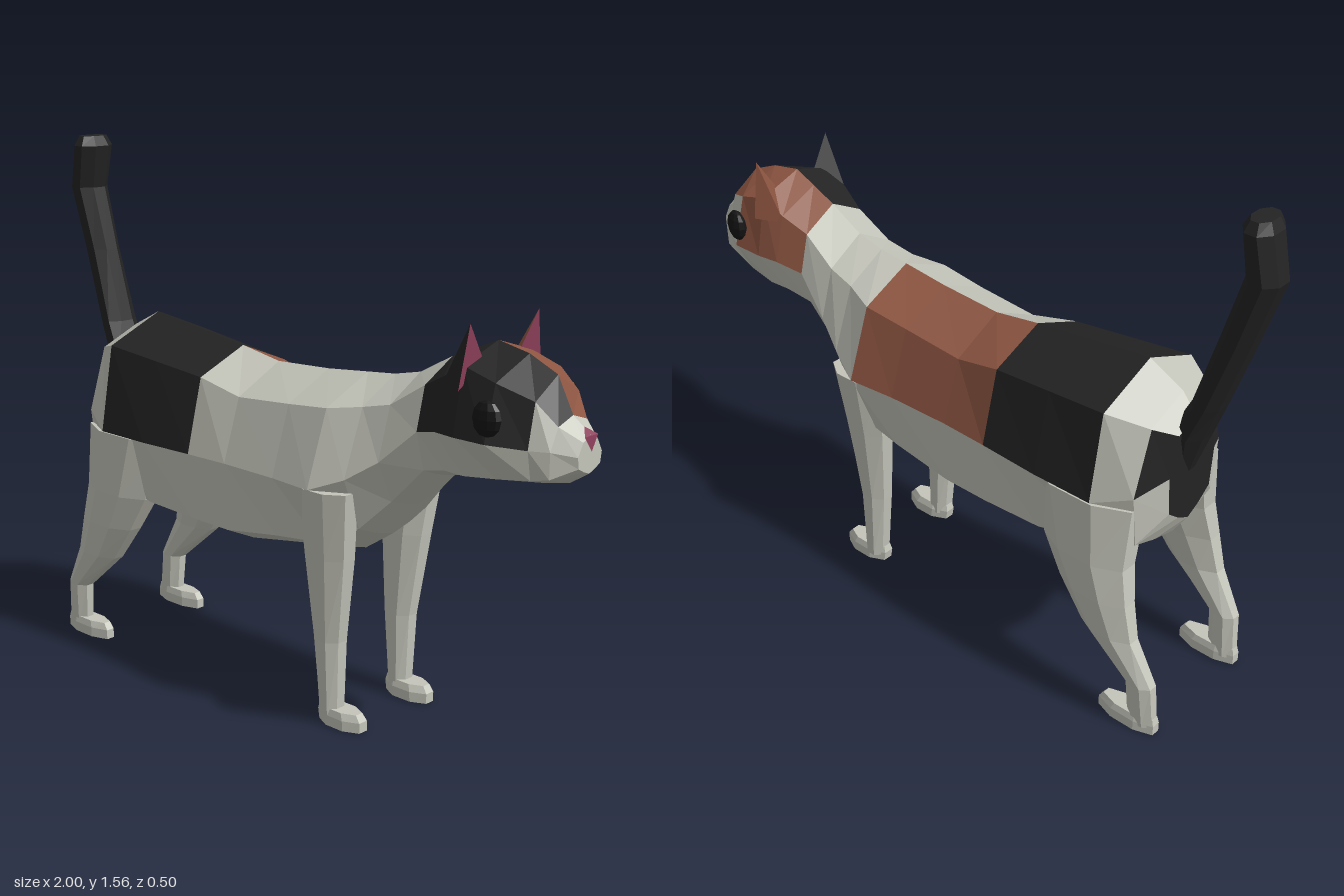
import * as THREE from 'three';

const mat = (name, color) => Object.assign(new THREE.MeshStandardMaterial({ color }), { name });
const M = {
  white: mat('paleFur', 0xc4c5ba),
  black: mat('blackFur', 0x232323),
  brown: mat('brownFur', 0x8e5642),
  pink: mat('pinkSkin', 0x8c3f5a),
  eye: mat('darkEye', 0x151515),
};

// Collects triangles per colour and turns them into flat-shaded meshes.
class Faces {
  constructor() { this.lists = {}; }
  tri(colour, a, b, c) { (this.lists[colour] ??= []).push(...a, ...b, ...c); }
  build(name) {
    const group = new THREE.Group();
    group.name = name;
    for (const [colour, list] of Object.entries(this.lists)) {
      const geo = new THREE.BufferGeometry();
      geo.setAttribute('position', new THREE.Float32BufferAttribute(list, 3));
      geo.computeVertexNormals();
      const mesh = new THREE.Mesh(geo, M[colour]);
      mesh.name = name + '_' + M[colour].name;
      group.add(mesh);
    }
    return group;
  }
}

// Skins a row of rings; rings run counter-clockwise seen from the far end.
function loft(name, rings, colourOf) {
  const f = new Faces(), n = rings[0].length, last = rings.length - 1;
  for (let s = 0; s < last; s++) {
    for (let i = 0; i < n; i++) {
      const j = (i + 1) % n, colour = colourOf(s, i);
      f.tri(colour, rings[s][i], rings[s][j], rings[s + 1][j]);
      f.tri(colour, rings[s][i], rings[s + 1][j], rings[s + 1][i]);
    }
  }
  for (let i = 1; i < n - 1; i++) {
    f.tri(colourOf(-1, i), rings[0][0], rings[0][i + 1], rings[0][i]);
    f.tri(colourOf(last, i), rings[last][0], rings[last][i], rings[last][i + 1]);
  }
  return f.build(name);
}

// Upright limb made of eight-sided rings: [y, x0, x1, z0, z1]
function limb(name, rows, colour, side = 1) {
  const k = 0.5 / Math.cos(Math.PI / 8);
  const rings = rows.map(([y, x0, x1, z0, z1]) => Array.from({ length: 8 }, (_, i) => {
    const a = (i + 0.5) * Math.PI / 4;
    return [(x0 + x1) / 2 + (x1 - x0) * k * Math.cos(a), y,
      side * (z0 + z1) / 2 - (z1 - z0) * k * Math.sin(a)];
  }));
  return loft(name, rings, () => colour);
}

// Trunk and head stations: x, top y, ridge z/y, flank z/y, lower z/y, underside y
const TRUNK = [
  [-0.785, 0.93, 0.07, 0.90, 0.10, 0.78, 0.09, 0.66, 0.60],
  [-0.74, 0.985, 0.13, 0.93, 0.19, 0.74, 0.17, 0.58, 0.53],
  [-0.63, 1.04, 0.19, 0.96, 0.235, 0.70, 0.20, 0.55, 0.48],
  [-0.44, 1.015, 0.18, 0.94, 0.235, 0.70, 0.21, 0.51, 0.44],
  [-0.25, 0.99, 0.17, 0.92, 0.225, 0.70, 0.215, 0.505, 0.43],
  [-0.10, 0.965, 0.16, 0.885, 0.22, 0.70, 0.21, 0.50, 0.42],
  [0.10, 0.975, 0.16, 0.90, 0.225, 0.70, 0.21, 0.53, 0.455],
  [0.25, 0.99, 0.165, 0.915, 0.24, 0.70, 0.19, 0.54, 0.48],
  [0.35, 1.00, 0.13, 0.93, 0.20, 0.74, 0.14, 0.59, 0.545],
  [0.44, 1.02, 0.12, 0.95, 0.165, 0.80, 0.11, 0.68, 0.65],
  [0.55, 1.08, 0.11, 1.02, 0.14, 0.90, 0.11, 0.79, 0.755],
];
const HEAD = [
  TRUNK[10],
  [0.63, 1.115, 0.13, 1.06, 0.165, 0.92, 0.125, 0.81, 0.77],
  [0.70, 1.145, 0.14, 1.10, 0.175, 0.92, 0.13, 0.81, 0.785],
  [0.80, 1.125, 0.135, 1.07, 0.175, 0.92, 0.12, 0.82, 0.795],
  [0.89, 1.085, 0.09, 1.03, 0.115, 0.91, 0.10, 0.83, 0.805],
  [0.94, 0.99, 0.06, 0.97, 0.09, 0.91, 0.09, 0.84, 0.815],
  [0.995, 0.95, 0.03, 0.935, 0.05, 0.90, 0.045, 0.87, 0.85],
];

// Full ring from one station: down the left side, then up the right
function station([x, yt, zr, yr, zm, ym, zl, yl, yb]) {
  const half = [[zr, yr], [zm, ym], [zl, yl], [zl * 0.5, yl * 0.4 + yb * 0.6]];
  return [[x, yt, 0], ...half.map(([z, y]) => [x, y, z]), [x, yb, 0],
    ...half.reverse().map(([z, y]) => [x, y, -z])];
}

function trunkColour(s, i) {
  const upper = i < 2 || i > 7;
  if (s === -1) return 'black';
  if (s === 0 && (i === 1 || i === 8)) return 'black';
  if (upper && (s === 2 || s === 3)) return 'black';
  if (i > 7 && s >= 4 && s <= 6) return 'brown';
  return 'white';
}

function headColour(s, i) {
  if (s < 0 || s > 4) return 'white';
  if (i === 0 || (i === 1 && s < 4)) return 'black';
  if (i === 9 || (i === 8 && s < 3)) return 'brown';
  return 'white';
}

// Three-sided ear with a pink front
function ear(side) {
  const f = new Faces(), p = (x, y, z) => [x, y, z * side];
  const inner = p(0.71, 1.10, 0.07), outer = p(0.71, 1.04, 0.17);
  const back = p(0.625, 1.04, 0.13), tip = p(0.72, 1.21, 0.14);
  const add = (c, a, b, d) => (side > 0 ? f.tri(c, a, b, d) : f.tri(c, a, d, b));
  const fur = side > 0 ? 'black' : 'brown';
  add('pink', outer, inner, tip);
  add(fur, back, outer, tip);
  add(fur, inner, back, tip);
  return f.build(side > 0 ? 'leftEar' : 'rightEar');
}

export function createModel() {
  const cat = new THREE.Group();
  cat.name = 'cat';
  cat.add(loft('body', TRUNK.map(station), trunkColour));
  cat.add(loft('head', HEAD.map(station), headColour));

  // Upright tail
  cat.add(limb('tail', [
    [0.76, -0.785, -0.74, -0.03, 0.03],
    [0.88, -0.825, -0.73, -0.06, 0.06],
    [0.99, -0.865, -0.785, -0.055, 0.055],
    [1.21, -0.94, -0.85, -0.05, 0.05],
    [1.40, -1.0, -0.905, -0.055, 0.055],
    [1.53, -0.972, -0.884, -0.06, 0.06],
    [1.56, -0.958, -0.90, -0.045, 0.045],
  ], 'black'));

  for (const side of [1, -1]) {
    const tag = side > 0 ? 'left' : 'right';
    cat.add(limb(tag + 'FrontLeg', [
      [0.02, 0.225, 0.29, 0.11, 0.18],
      [0.25, 0.205, 0.30, 0.107, 0.19],
      [0.50, 0.185, 0.335, 0.107, 0.215],
      [0.70, 0.18, 0.36, 0.12, 0.24],
    ], 'white', side));
    cat.add(limb(tag + 'FrontPaw', [
      [0, 0.22, 0.375, 0.105, 0.18],
      [0.03, 0.215, 0.375, 0.105, 0.18],
      [0.05, 0.22, 0.36, 0.112, 0.175],
    ], 'white', side));
    cat.add(limb(tag + 'HindLeg', [
      [0.02, -0.86, -0.775, 0.165, 0.22],
      [0.16, -0.85, -0.765, 0.165, 0.23],
      [0.29, -0.78, -0.61, 0.16, 0.245],
      [0.40, -0.755, -0.53, 0.145, 0.25],
      [0.51, -0.735, -0.465, 0.12, 0.25],
      [0.70, -0.74, -0.40, 0.08, 0.24],
    ], 'white', side));
    cat.add(limb(tag + 'HindPaw', [
      [0, -0.865, -0.675, 0.16, 0.225],
      [0.03, -0.865, -0.675, 0.16, 0.225],
      [0.05, -0.86, -0.69, 0.165, 0.22],
    ], 'white', side));
    cat.add(ear(side));

    // Eye
    const geo = new THREE.SphereGeometry(1, 10, 6).toNonIndexed();
    geo.scale(0.042, 0.048, 0.022);
    geo.computeVertexNormals();
    const eye = new THREE.Mesh(geo, M.eye);
    eye.name = tag + 'Eye';
    eye.position.set(0.80, 0.985, 0.166 * side);
    eye.rotation.y = 0.15 * side;
    cat.add(eye);
  }

  // Nose: a small downward wedge at the tip of the muzzle
  const nose = new Faces();
  const l = [0.997, 0.948, 0.028], r = [0.997, 0.948, -0.028];
  const low = [1.0, 0.908, 0], up = [0.975, 0.967, 0];
  nose.tri('pink', l, low, r);
  nose.tri('pink', l, r, up);
  cat.add(nose.build('nose'));
  return cat;
}
